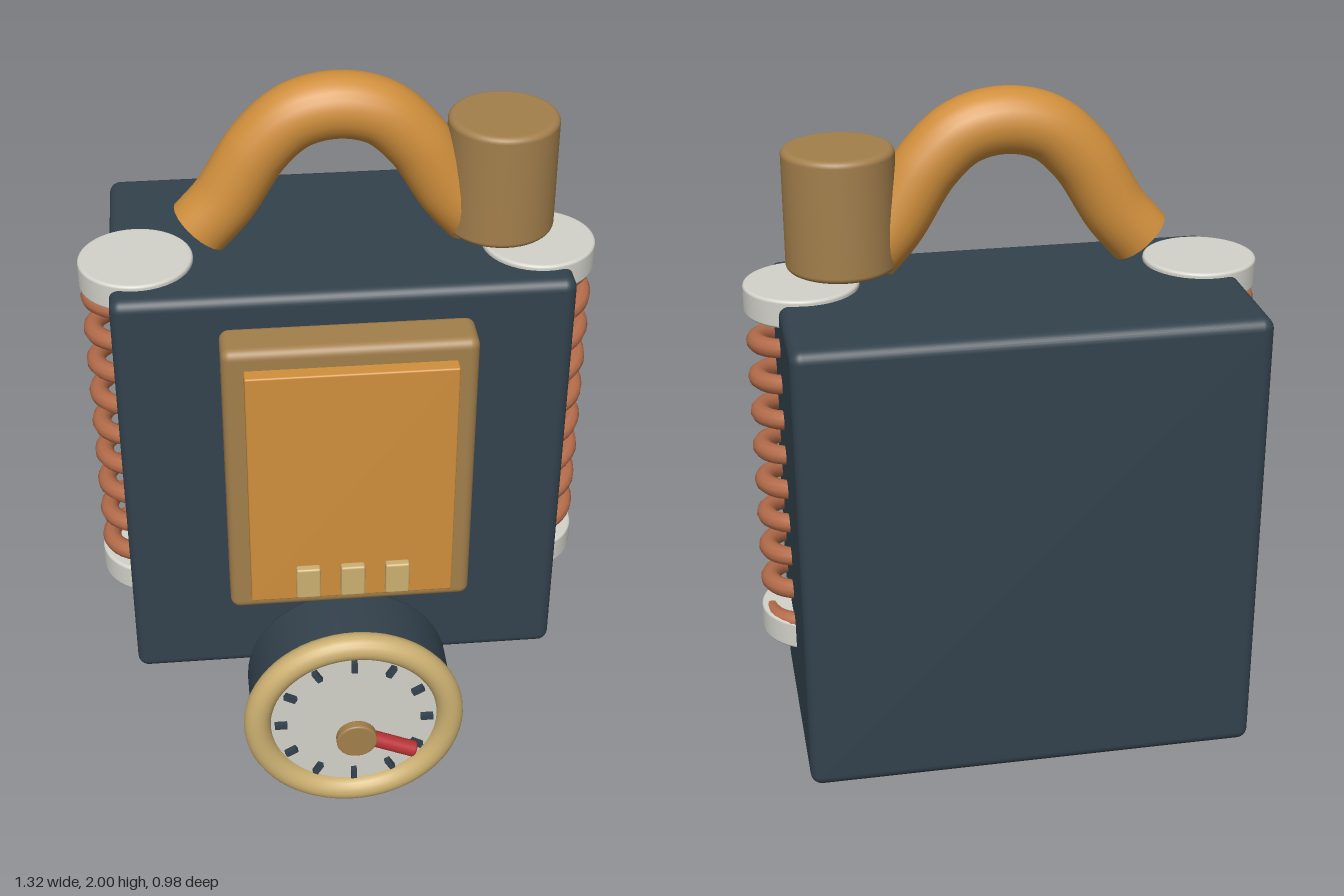
import * as THREE from 'three';
import { RoundedBoxGeometry } from 'three/addons/geometries/RoundedBoxGeometry.js';

const mat = (name, color) => new THREE.MeshStandardMaterial({ name, color });

export function createModel() {
  const navy = mat('dark slate', 0x33424d);
  const orange = mat('amber', 0xd08f3c);
  const brown = mat('bronze', 0xa37f4c);
  const gold = mat('pale brass', 0xccb071);
  const silver = mat('light grey', 0xd2d2ca);
  const copper = mat('copper', 0xb56d4b);
  const red = mat('red', 0xb93337);

  const model = new THREE.Group();
  const add = (name, geometry, material, x = 0, y = 0, z = 0, parent = model) => {
    const mesh = new THREE.Mesh(geometry, material);
    mesh.name = name;
    mesh.position.set(x, y, z);
    parent.add(mesh);
    return mesh;
  };
  const box = (w, h, d, r) => new RoundedBoxGeometry(w, h, d, 4, r);

  // Upright disc or cylinder with rounded rims
  const roundedCylinder = (r, h, b) => {
    const pts = [new THREE.Vector2(0, -h / 2), new THREE.Vector2(r - b - 0.003, -h / 2)];
    for (const end of [-1, 1]) {
      for (let i = 0; i <= 5; i++) {
        const a = (Math.PI / 2) * (end < 0 ? i / 5 - 1 : i / 5);
        pts.push(new THREE.Vector2(r - b + b * Math.cos(a), end * (h / 2 - b) + b * Math.sin(a)));
      }
    }
    pts.push(new THREE.Vector2(r - b - 0.003, h / 2), new THREE.Vector2(0, h / 2));
    return new THREE.LatheGeometry(pts, 48);
  };

  // Main case
  add('case', box(1.165, 1.205, 0.65, 0.03), navy, 0, 0.9125, -0.167);

  // Coil springs between end caps, one on each side
  class Helix extends THREE.Curve {
    getPoint(t, target = new THREE.Vector3()) {
      const a = t * 9 * Math.PI * 2;
      return target.set(0.12 * Math.cos(a), 0.592 + 0.881 * t, -0.12 * Math.sin(a));
    }
  }
  const coil = new THREE.TubeGeometry(new Helix(), 288, 0.025, 10);
  for (const [side, s] of [['left', 1], ['right', -1]]) {
    const spring = new THREE.Group();
    spring.name = side + 'Spring';
    spring.position.set(s * 0.515, 0, -0.048);
    add('coil', coil, copper, 0, 0, 0, spring);
    add('topCap', roundedCylinder(0.146, 0.074, 0.008), silver, 0, 1.491, 0, spring);
    add('bottomCap', roundedCylinder(0.146, 0.076, 0.008), silver, 0, 0.577, 0, spring);
    model.add(spring);
  }

  // Arched hose with closed ends
  const half = [[0.348, 1.598], [0.285, 1.67], [0.193, 1.815], [0.105, 1.893]];
  const path = new THREE.CatmullRomCurve3([
    ...half.map(([x, y]) => new THREE.Vector3(-x, y, 0)),
    new THREE.Vector3(0, 1.917, 0),
    ...half.map(([x, y]) => new THREE.Vector3(x, y, 0)).reverse(),
  ]);
  const hose = new THREE.Group();
  hose.name = 'hose';
  hose.position.z = -0.066;
  add('hoseTube', new THREE.TubeGeometry(path, 64, 0.083, 24), orange, 0, 0, 0, hose);
  for (const t of [0, 1]) {
    const p = path.getPoint(t);
    const end = add('hoseEnd', new THREE.CircleGeometry(0.083, 24), orange, p.x, p.y, 0, hose);
    const outward = path.getTangent(t).multiplyScalar(t ? 1 : -1);
    end.quaternion.setFromUnitVectors(new THREE.Vector3(0, 0, 1), outward);
  }
  model.add(hose);
  add('canister', roundedCylinder(0.139, 0.306, 0.015), brown, 0.413, 1.719, -0.066);

  // Front panel with screen and buttons
  add('panelFrame', box(0.636, 0.816, 0.125, 0.025), brown, 0, 1.041, 0.2365);
  add('screen', box(0.528, 0.705, 0.06, 0.005), orange, 0, 1.0435, 0.306);
  for (const x of [-0.116, 0, 0.116]) add('button', box(0.063, 0.095, 0.024, 0.006), gold, x, 0.766, 0.357);

  // Round gauge, facing forward
  const gauge = new THREE.Group();
  gauge.name = 'gauge';
  gauge.position.y = 0.302;
  model.add(gauge);
  const facing = (name, r, h, b, m, z) => {
    add(name, roundedCylinder(r, h, b), m, 0, 0, z, gauge).rotation.x = Math.PI / 2;
  };
  facing('gaugeHousing', 0.279, 0.2, 0.02, navy, 0.284);
  facing('dialFace', 0.24, 0.03, 0.004, silver, 0.387);
  add('bezel', new THREE.TorusGeometry(0.264, 0.037, 20, 64), gold, 0, 0, 0.398, gauge);
  for (let i = 0; i < 12; i++) {
    const a = (i * Math.PI) / 6;
    const tick = add('tick', new THREE.BoxGeometry(0.034, 0.016, 0.02), navy,
      0.2 * Math.cos(a), 0.2 * Math.sin(a), 0.407, gauge);
    tick.rotation.z = a;
  }
  const needle = add('needle', roundedCylinder(0.022, 0.178, 0.007), red, 0.081, -0.037, 0.459, gauge);
  needle.rotation.z = Math.PI / 2 - 0.43;
  facing('needleHub', 0.055, 0.027, 0.005, brown, 0.477);

  return model;
}
